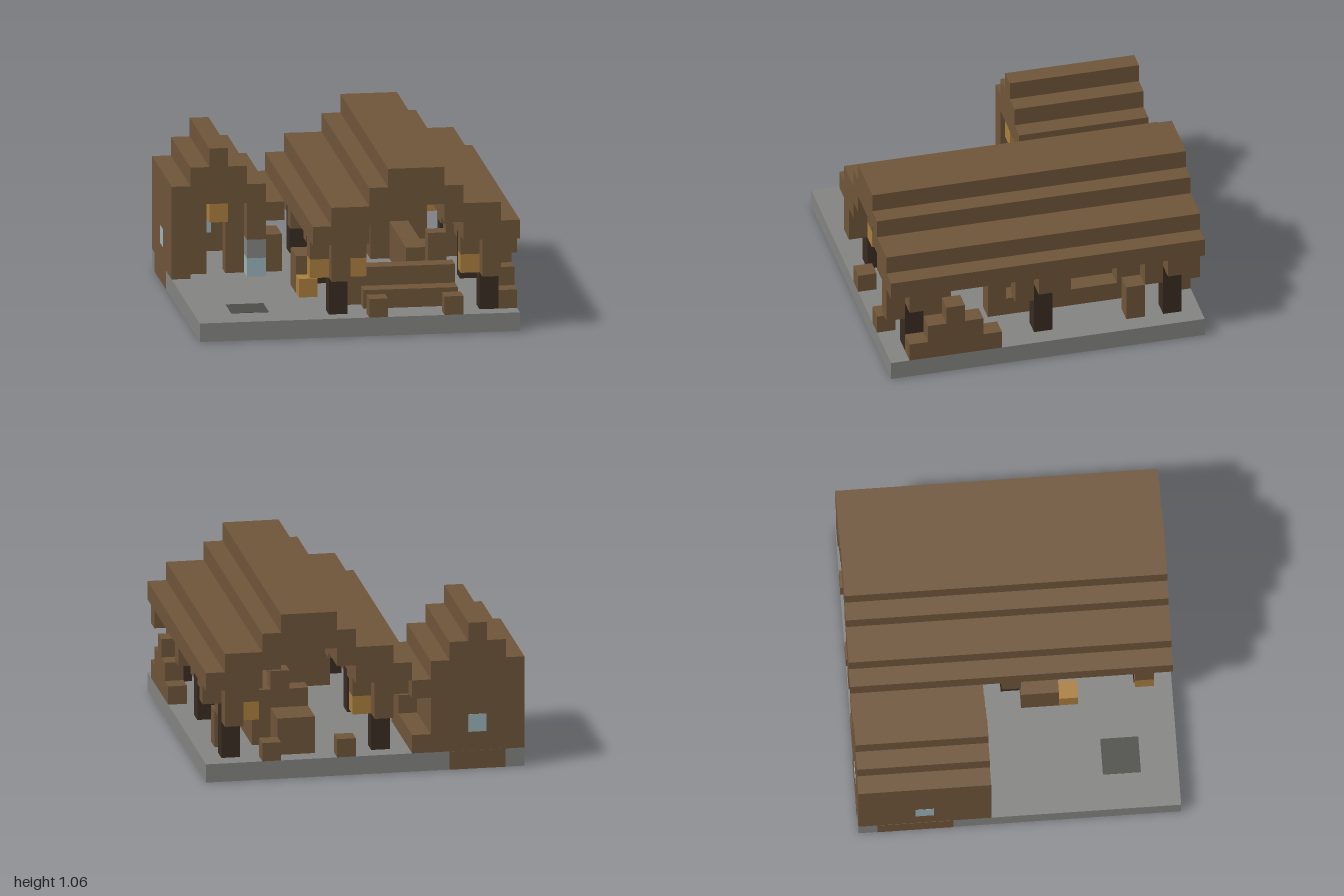
import * as THREE from 'three';

// Block grid: 17 x 9 x 17 cells, i along x, j up, k along z (from the back)
const U = 2 / 17;

const mat = (name, color) => {
  const m = new THREE.MeshStandardMaterial({ color });
  m.name = name;
  return m;
};

export function createModel() {
  const wood = mat('wood brown', 0x70563a);
  const stone = mat('stone grey', 0x858583);
  const dark = mat('dark timber', 0x3a2d22);
  const amber = mat('lantern amber', 0xab803f);
  const blue = mat('pale blue', 0x9cb6bd);
  const pit = mat('dark stone', 0x4d4d48);

  const model = new THREE.Group();
  const group = (name) => {
    const g = new THREE.Group();
    g.name = name;
    model.add(g);
    return g;
  };
  // Block spanning whole cells i0..i1, j0..j1, k0..k1 inclusive
  const block = (parent, name, m, i0, i1, j0, j1, k0, k1) => {
    const w = i1 - i0 + 1, h = j1 - j0 + 1, d = k1 - k0 + 1;
    const mesh = new THREE.Mesh(new THREE.BoxGeometry(w * U, h * U, d * U), m);
    mesh.position.set(-1 + (i0 + w / 2) * U, (j0 + h / 2) * U, -1 + (k0 + d / 2) * U);
    mesh.name = name;
    parent.add(mesh);
    return mesh;
  };
  // Thin painted plate, by centre and size
  const plate = (parent, name, m, x, y, z, w, h, d) => {
    const mesh = new THREE.Mesh(new THREE.BoxGeometry(w, h, d), m);
    mesh.position.set(x, y, z);
    mesh.name = name;
    parent.add(mesh);
  };
  const T = 0.004;

  // Base slab with its inlays
  const base = group('base');
  block(base, 'slab', stone, 0, 16, 0, 0, 0, 16);
  plate(base, 'firePitTop', pit, -3 * U * 2 + 0.055, U, 0.65, 2 * U, T, 2 * U);
  plate(base, 'firePitUnderside', pit, -0.65, 0, 0.65, 2 * U, T, 2 * U);
  plate(base, 'houseFloorUnderside', wood, -0.65, 0, -0.5, 4 * U, T, 5.5 * U);
  plate(base, 'counterUnderside', wood, -0.18, 0, 0.18, 2 * U, T, 2 * U);
  plate(base, 'houseFootingBack', wood, -0.705, U / 2, -1, 3 * U, U, T);
  plate(base, 'houseFootingLeft', wood, -1, U / 2, -0.645, T, U, 4 * U);

  // Stepped hall roof: first cell, last cell, lowest and highest layer
  const hallRoof = group('hallRoof');
  [[6, 6, 5, 5], [7, 8, 5, 6], [9, 9, 6, 7], [10, 12, 7, 8],
    [13, 13, 6, 7], [14, 15, 5, 6], [16, 16, 5, 5]].forEach(([a, b, lo, hi]) =>
    block(hallRoof, 'roofStep', wood, a, b, lo, hi, 0, 16));

  // Hall posts with brackets and capitals
  const frame = group('hallPosts');
  for (const i of [7, 15]) {
    for (const k of [1, 8, 15]) {
      block(frame, 'post', dark, i, i, 1, 3, k, k);
      block(frame, 'capital', wood, i - 1, i + 1, 4, 4, k, k);
      block(frame, 'bracketFront', wood, i, i, 3, 4, k + 1, k + 1);
      block(frame, 'bracketBack', wood, i, i, 3, 4, k - 1, k - 1);
      plate(frame, 'postFoot', dark, -1 + (i + 0.5) * U, 0, -1 + (k + 0.5) * U, 0.08, T * 1.5, 0.08);
    }
  }

  // Hanging lanterns
  const lanterns = group('lanterns');
  [[8, 3, 1], [14, 3, 1], [8, 3, 15], [14, 3, 15], [6, 3, 15], [2, 4, 6], [6, 1, 11]].forEach(
    ([i, j, k]) => block(lanterns, 'lantern', amber, i, i, j, j, k, k));

  // Stepped railing on the right side
  const railing = group('railing');
  [[15, 1], [14, 2], [13, 3], [12, 2], [11, 1]].forEach(([k, h]) =>
    block(railing, 'railingBlock', wood, 16, 16, 1, h, k, k));

  // Front bench with arms and small stools
  const furniture = group('furniture');
  block(furniture, 'benchSeat', wood, 9, 13, 1, 1, 14, 14);
  block(furniture, 'benchBack', wood, 9, 13, 1, 2, 13, 13);
  block(furniture, 'benchArm', wood, 8, 8, 1, 2, 13, 13);
  for (const i of [9, 13]) {
    for (const k of [0, 16]) block(furniture, 'stool', wood, i, i, 1, 1, k, k);
  }
  // Rear table and stepped high seat
  block(furniture, 'table', wood, 11, 12, 1, 2, 1, 2);
  [[11, 3], [12, 4], [13, 3]].forEach(([i, h]) =>
    block(furniture, 'highSeat', wood, i, i, 1, h, 3, 3));
  block(furniture, 'sideStool', wood, 15, 15, 1, 2, 3, 3);
  // Long side bench
  block(furniture, 'sideBenchSeat', wood, 13, 13, 1, 1, 4, 9);
  block(furniture, 'sideBenchBack', wood, 12, 12, 1, 2, 4, 9);
  block(furniture, 'sideBenchEnd', wood, 13, 13, 1, 3, 10, 10);
  // Counter by the left post
  block(furniture, 'counter', wood, 6, 6, 1, 2, 9, 10);

  // House walls
  const house = group('house');
  block(house, 'leftWall', wood, 0, 0, 1, 4, 0, 6);
  block(house, 'backWall', wood, 1, 4, 1, 4, 0, 0);
  block(house, 'rightWall', wood, 4, 4, 1, 4, 1, 5);
  block(house, 'frontWallLeft', wood, 1, 1, 1, 4, 5, 5);
  block(house, 'frontWallRight', wood, 3, 3, 1, 4, 5, 5);
  block(house, 'doorLintel', wood, 2, 2, 4, 4, 5, 5);
  block(house, 'porchPost', wood, 4, 4, 3, 4, 6, 6);
  block(house, 'waterTrough', blue, 4, 4, 1, 1, 6, 6);
  block(house, 'stoneBlock', stone, 4, 4, 2, 2, 6, 6);
  block(house, 'lowSideWall', wood, 5, 5, 1, 1, 0, 5);
  block(house, 'sideWallStep', wood, 5, 5, 2, 2, 4, 5);

  // House stepped roof with closed gables
  [5, 6, 7, 6, 5, 4].forEach((top, i) => {
    block(house, 'roofStep', wood, i, i, Math.max(top - 1, i === 5 ? 4 : 5), top, 0, 6);
    if (top > 6) for (const k of [0, 6]) block(house, 'gable', wood, i, i, 5, top, k, k);
  });

  // Windows on both faces of the back and left walls
  const s = U * 0.96;
  for (const z of [-1, -1 + U]) plate(house, 'backWindow', blue, -1 + 2.5 * U, 2.5 * U, z, s, s, T);
  for (const x of [-1, -1 + U]) plate(house, 'leftWindow', blue, x, 2.5 * U, -1 + 3.5 * U, T, s, s);

  return model;
}
